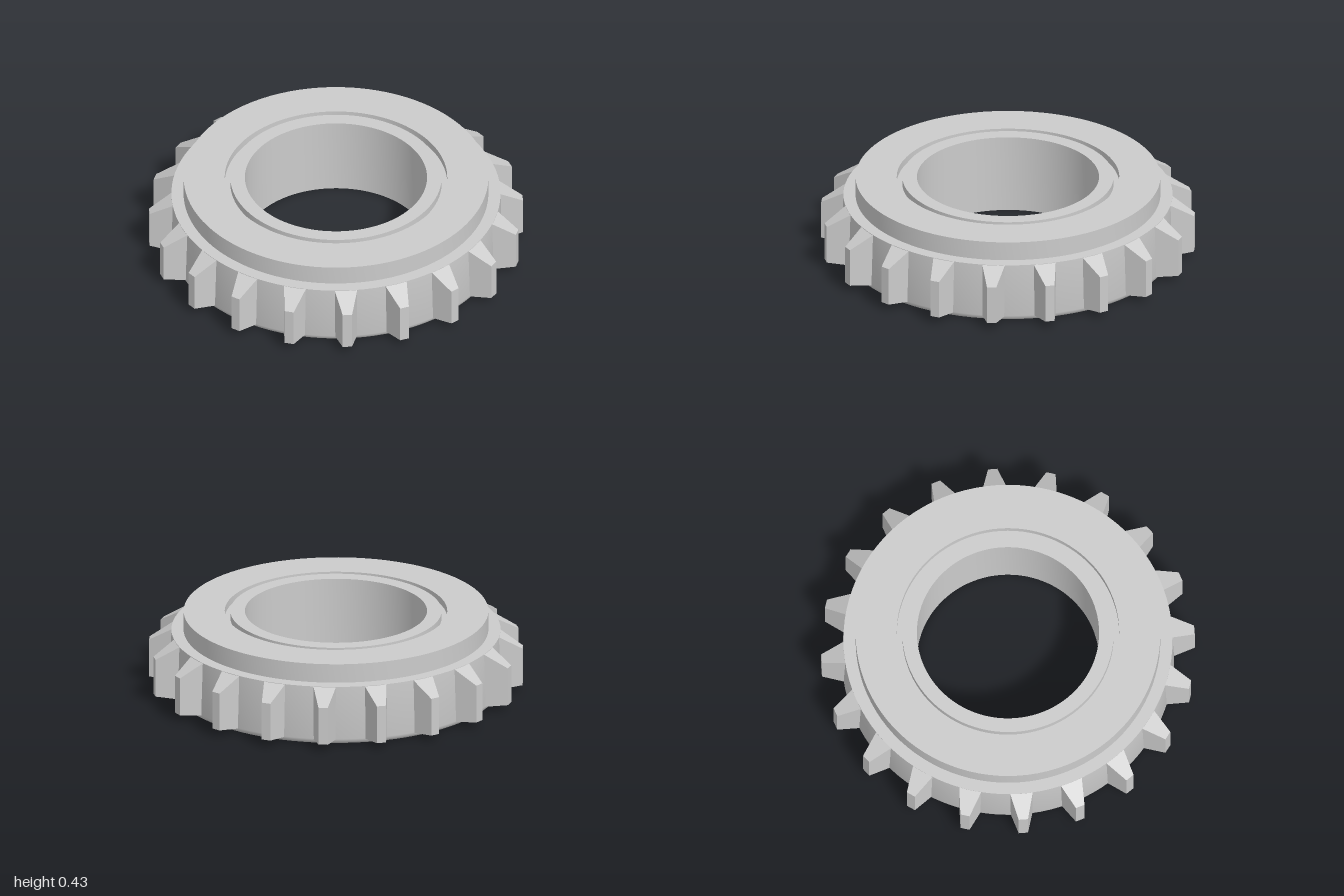
import * as THREE from 'three';
import { toCreasedNormals } from 'three/addons/utils/BufferGeometryUtils.js';

const TEETH = 20;

// One tooth pointing along +x: wide at the root, narrow and bevelled at the tip
function toothGeometry() {
  const geometry = new THREE.BoxGeometry(1, 1, 1);
  const p = geometry.attributes.position;
  for (let i = 0; i < p.count; i++) {
    const tip = p.getX(i) > 0;
    const top = p.getY(i) > 0;
    const side = Math.sign(p.getZ(i));
    p.setXYZ(
      i,
      tip ? 1 : 0.875,
      top ? (tip ? 0.25 : 0.325) : (tip ? 0.04 : 0.025),
      side * (tip ? 0.025 : 0.061)
    );
  }
  const flat = geometry.toNonIndexed();
  flat.computeVertexNormals();
  return flat;
}

export function createModel() {
  const group = new THREE.Group();
  group.name = 'gearRing';
  const material = new THREE.MeshStandardMaterial({ color: 0xcccccc });

  // Ring body: flat base, rounded lower rim, slightly tapered wall,
  // raised collar, narrow groove in the top and a straight bore
  const profile = [
    [0.487, 0], [0.865, 0], [0.877, 0.006], [0.885, 0.016], [0.888, 0.03],
    [0.88, 0.325], [0.815, 0.325], [0.815, 0.43],
    [0.595, 0.43], [0.595, 0.39], [0.565, 0.39], [0.565, 0.43],
    [0.487, 0.43], [0.487, 0],
  ].map(([r, y]) => new THREE.Vector2(r, y));
  const body = new THREE.Mesh(
    toCreasedNormals(new THREE.LatheGeometry(profile, 96), Math.PI / 6),
    material
  );
  body.name = 'ringBody';
  group.add(body);

  // Teeth around the rim
  const teeth = new THREE.Group();
  teeth.name = 'teeth';
  const geometry = toothGeometry();
  for (let i = 0; i < TEETH; i++) {
    const tooth = new THREE.Mesh(geometry, material);
    tooth.name = 'tooth';
    tooth.rotation.y = ((i + 0.25) / TEETH) * Math.PI * 2;
    teeth.add(tooth);
  }
  group.add(teeth);

  return group;
}
